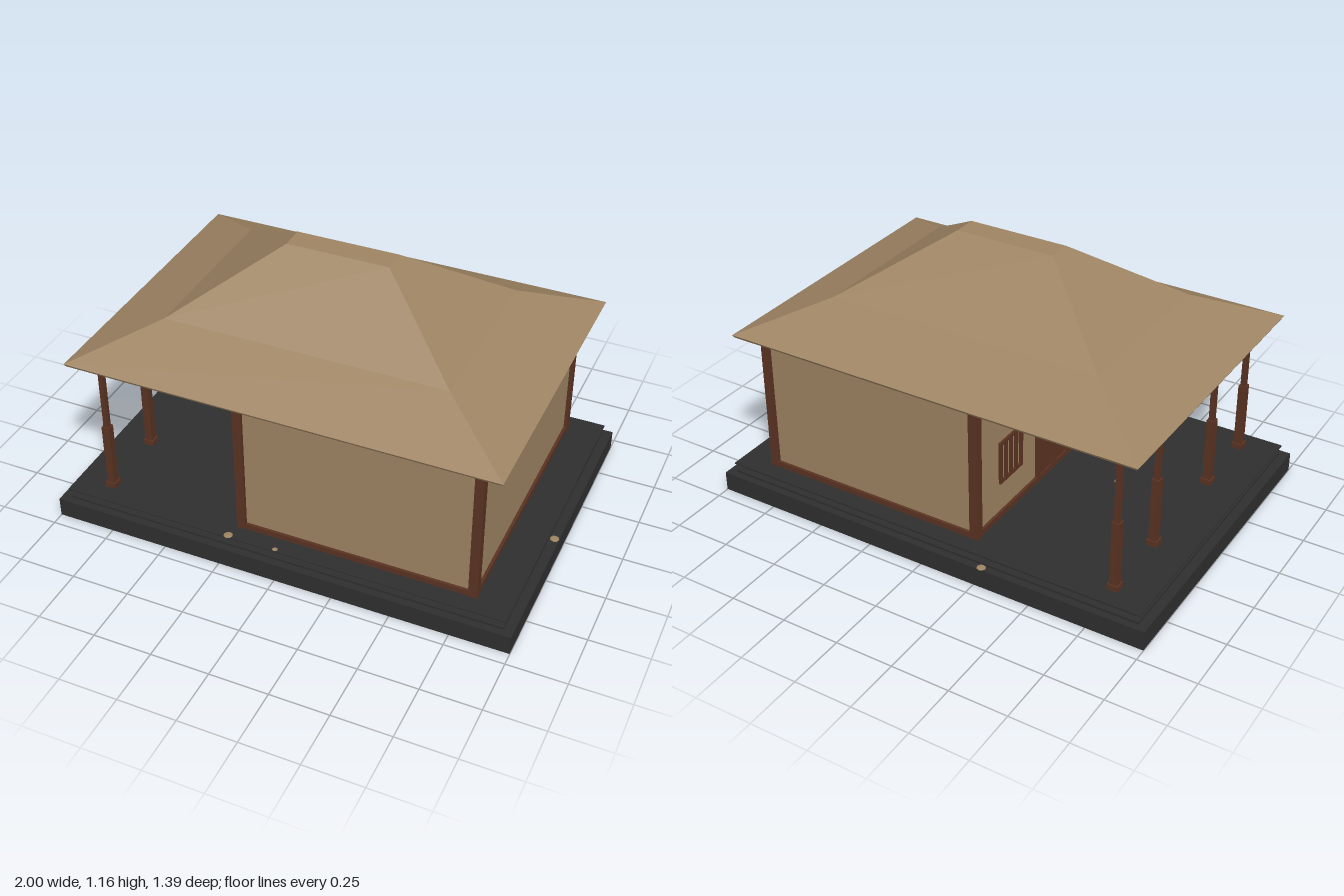
import * as THREE from 'three';

const mat = (name, color) => {
  const m = new THREE.MeshStandardMaterial({ color });
  m.name = name;
  return m;
};

export function createModel() {
  const house = new THREE.Group();
  house.name = 'house';
  const tan = mat('tan', 0x9e8463);
  const wood = mat('brown wood', 0x5a3322);
  const dark = mat('dark stone', 0x2f2f30);

  // Box given by its lower and upper bounds on each axis
  const box = (name, material, x0, x1, y0, y1, z0, z1, parent = house) => {
    const mesh = new THREE.Mesh(new THREE.BoxGeometry(x1 - x0, y1 - y0, z1 - z0), material);
    mesh.position.set((x0 + x1) / 2, (y0 + y1) / 2, (z0 + z1) / 2);
    mesh.name = name;
    parent.add(mesh);
    return mesh;
  };

  // Stepped plinth: half width, half depth, bottom, top
  [
    [1, 0.695, 0, 0.085],
    [0.96, 0.665, 0.085, 0.095],
    [0.935, 0.637, 0.095, 0.126],
    [0.967, 0.668, 0.126, 0.131],
  ].forEach(([w, d, y0, y1], i) => box('plinthStep' + (i + 1), dark, -w, w, y0, y1, -d, d));

  // Walled room
  const floor = 0.131, top = 0.75;
  box('walls', tan, -0.195, 0.81, floor, 0.745, -0.58, 0.58);

  // Timber frame around the room
  for (const s of [-1, 1]) {
    const z0 = s > 0 ? 0.558 : -0.595, z1 = z0 + 0.037;
    box('cornerPost', wood, -0.21, -0.172, floor, top, z0, z1);
    box('cornerPost', wood, 0.787, 0.825, floor, top, z0, z1);
    const b0 = s > 0 ? 0.56 : -0.592;
    box('sillBeam', wood, -0.2, 0.815, floor, 0.156, b0, b0 + 0.032);
    box('topBeam', wood, -0.82, 0.82, 0.725, 0.748, b0, b0 + 0.032);
  }
  for (const [x0, x1] of [[-0.207, -0.175], [0.79, 0.822]]) {
    box('sideSill', wood, x0, x1, floor, 0.156, -0.57, 0.57);
    box('sideTopBeam', wood, x0, x1, 0.725, top, -0.57, 0.57);
  }
  box('porchBeam', wood, -0.822, -0.796, 0.725, top, -0.592, 0.592);

  // Door in the porch wall
  const door = new THREE.Group();
  door.name = 'door';
  house.add(door);
  box('doorLeaf', wood, -0.202, -0.19, floor, 0.58, -0.11, 0.13, door);
  for (const z of [-0.115, 0.01, 0.135])
    box('doorStile', wood, -0.21, -0.19, floor, 0.59, z - 0.012, z + 0.012, door);
  box('doorHead', wood, -0.21, -0.19, 0.57, 0.595, -0.127, 0.147, door);

  // Barred window on each side of the door
  for (const zc of [-0.325, 0.345]) {
    const win = new THREE.Group();
    win.name = 'window';
    house.add(win);
    for (const y of [0.29, 0.47])
      box('windowRail', wood, -0.205, -0.19, y, y + 0.014, zc - 0.085, zc + 0.085, win);
    for (let i = 0; i < 5; i++) {
      const z = zc - 0.078 + i * 0.039;
      box('windowBar', wood, -0.205, -0.19, 0.29, 0.484, z - 0.008, z + 0.008, win);
    }
  }

  // Porch columns: foot, thick lower shaft, thin upper shaft
  for (const z of [-0.57, -0.245, 0.25, 0.565]) {
    const column = new THREE.Group();
    column.name = 'porchColumn';
    column.position.set(-0.809, 0, z);
    house.add(column);
    for (const [part, r, y0, y1] of [
      ['foot', 0.023, floor, 0.155], ['lowerShaft', 0.017, 0.155, 0.44], ['upperShaft', 0.011, 0.44, 0.73],
    ]) box(part, wood, -r, r, y0, y1, -r, r, column);
  }

  // Two-pitch hipped roof lofted through rectangular sections
  const sections = [
    [0.757, 0.912, 0.65], [0.768, 0.918, 0.656], [0.905, 0.605, 0.382], [1.162, 0.22, 0.052],
  ];
  const rings = sections.map(([y, w, d]) =>
    [[-w, d], [w, d], [w, -d], [-w, -d]].map(([x, z]) => [x - 0.008, y, z - 0.008]));
  const pos = [];
  const quad = (a, b, c, d) => pos.push(...a, ...b, ...c, ...a, ...c, ...d);
  for (let i = 0; i < rings.length - 1; i++)
    for (let k = 0; k < 4; k++) {
      const n = (k + 1) % 4;
      quad(rings[i][k], rings[i][n], rings[i + 1][n], rings[i + 1][k]);
    }
  quad(...rings[rings.length - 1]);
  quad(...[...rings[0]].reverse());
  const roofGeo = new THREE.BufferGeometry();
  roofGeo.setAttribute('position', new THREE.Float32BufferAttribute(pos, 3));
  roofGeo.computeVertexNormals();
  const roof = new THREE.Mesh(roofGeo, tan);
  roof.name = 'roof';
  house.add(roof);

  // Small pebbles set into the plinth: x, y, z, radius
  [
    [-0.28, 0.085, -0.68, 0.02], [0.98, 0.085, 0.09, 0.02], [-0.22, 0.131, 0.655, 0.02], [-0.01, 0.131, 0.655, 0.012],
    [-0.49, 0.131, 0.06, 0.018], [0.17, 0.002, -0.64, 0.01], [0.07, 0.002, -0.44, 0.02], [0.6, 0.002, 0.24, 0.014],
    [0.3, 0.002, 0.55, 0.02], [-0.64, 0.002, 0.15, 0.02], [0.365, 0.002, 0.24, 0.012],
  ].forEach(([x, y, z, r]) => {
    const pebble = new THREE.Mesh(new THREE.SphereGeometry(r, 8, 6), tan);
    pebble.scale.y = 0.2;
    pebble.position.set(x, y, z);
    pebble.name = 'pebble';
    house.add(pebble);
  });

  return house;
}
